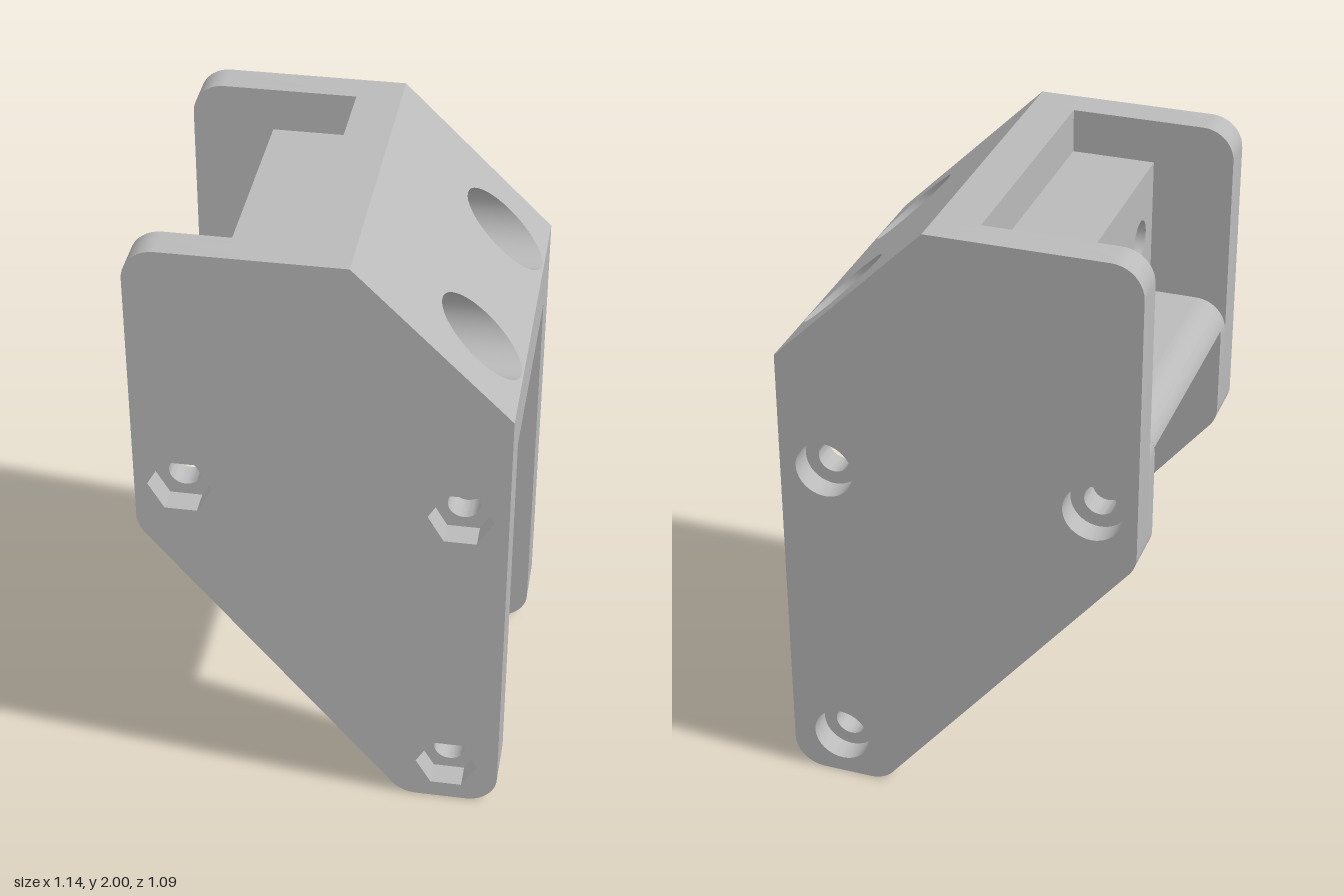
import * as THREE from 'three';
import { toCreasedNormals } from 'three/addons/utils/BufferGeometryUtils.js';

const R = 0.1;                       // corner rounding
const OUT = 0.545, POCKET = 0.435, GAP = 0.38, RECESS = 0.465; // z levels
const SHOULDER = 1.525, STEP = 1.86, LEDGE = 1.41, UNDER = 1.33; // y levels
const BORE_FLOOR = 0.09;             // x of the counterbore floor
const BOLTS = [[-0.43, 1.17], [0.425, 1.15], [0.405, 0.145]];

// Polygon from [x, y, radius?] corners, rounding those with a radius
function rounded(corners) {
  const pts = [];
  corners.forEach(([x, y, r], i) => {
    const p = new THREE.Vector2(x, y);
    if (!r) { pts.push(p); return; }
    const n = corners.length;
    const a = new THREE.Vector2(...corners[(i + n - 1) % n].slice(0, 2)).sub(p).normalize();
    const b = new THREE.Vector2(...corners[(i + 1) % n].slice(0, 2)).sub(p).normalize();
    const half = Math.acos(a.dot(b)) / 2;
    const t = r / Math.tan(half);
    const c = a.clone().add(b).normalize().multiplyScalar(r / Math.sin(half)).add(p);
    const s = a.multiplyScalar(t).add(p).sub(c);
    const e = b.multiplyScalar(t).add(p).sub(c);
    const a0 = s.angle();
    let d = e.angle() - a0;
    if (d > Math.PI) d -= 2 * Math.PI;
    if (d < -Math.PI) d += 2 * Math.PI;
    for (let k = 0; k <= 10; k++) {
      const q = a0 + d * k / 10;
      pts.push(new THREE.Vector2(c.x + r * Math.cos(q), c.y + r * Math.sin(q)));
    }
  });
  return new THREE.Shape(pts);
}

// Regular polygon hole: 6 sides for a nut, many for a round bore
function hole(x, y, r, sides = 40) {
  const pts = [];
  for (let i = 0; i < sides; i++) {
    const a = -i / sides * Math.PI * 2;
    pts.push(new THREE.Vector2(x + r * Math.cos(a), y + r * Math.sin(a)));
  }
  return new THREE.Path(pts);
}

function extrude(shape, from, to) {
  return new THREE.ExtrudeGeometry(shape, { depth: to - from, bevelEnabled: false, curveSegments: 12 })
    .translate(0, 0, from);
}

export function createModel() {
  const group = new THREE.Group();
  const grey = new THREE.MeshStandardMaterial({ color: 0xbababa });
  grey.name = 'plain grey';

  const add = (name, geometry) => {
    const mesh = new THREE.Mesh(toCreasedNormals(geometry, 0.5), grey);
    mesh.name = name;
    group.add(mesh);
  };

  const lowerEdge = [[-0.57, 1.007, R], [0.26, 0, R], [0.57, 0, R]];
  const plate = (r, sides) => {
    const s = rounded([[0.57, SHOULDER], [0.09, 2], [-0.57, 2, R], ...lowerEdge]);
    s.holes = BOLTS.map(([x, y]) => hole(x, y, r, sides));
    return s;
  };
  const liner = () => {
    const s = rounded([[0.57, SHOULDER], [-0.315, SHOULDER], [-0.315, LEDGE], [-0.57, LEDGE, R], ...lowerEdge]);
    s.holes = BOLTS.map(([x, y]) => hole(x, y, 0.05));
    return s;
  };

  // Cheek plates: nut recesses in front, round screw recesses behind
  add('frontPlateNutLayer', extrude(plate(0.1, 6), RECESS, OUT));
  add('backPlateScrewLayer', extrude(plate(0.093, 40), -OUT, -RECESS));
  for (const [side, f] of [['front', 1], ['back', -1]]) {
    const span = (a, b) => (f > 0 ? [a, b] : [-b, -a]);
    add(side + 'PlateCore', extrude(plate(0.05, 40), ...span(POCKET, RECESS)));
    add(side + 'PlateLiner', extrude(liner(), ...span(GAP, POCKET)));
  }

  // Bridge floor with a rounded rear lip
  const floor = new THREE.Shape();
  floor.moveTo(0.57, UNDER);
  floor.lineTo(0.57, SHOULDER);
  floor.lineTo(-0.315, SHOULDER);
  floor.lineTo(-0.315, LEDGE);
  floor.absarc(-0.47, LEDGE - R, R, Math.PI / 2, Math.PI - 0.2, false);
  add('bridgeFloor', extrude(floor, -GAP, GAP));

  // Bored blocks, extruded along x
  const bored = (top, r, from, to) => {
    const s = rounded([[-POCKET, SHOULDER], [POCKET, SHOULDER], [POCKET, top], [-POCKET, top]]);
    s.holes = [-0.3, 0.3].map((z) => hole(z, 1.65, r));
    return extrude(s, from, to).rotateY(Math.PI / 2);
  };
  add('screwBlock', bored(STEP, 0.065, -0.315, BORE_FLOOR));

  // The front face of the counterbored block is leaned onto the slope
  const slope = bored(2, 0.12, BORE_FLOOR, 0.57);
  const pos = slope.attributes.position;
  for (let i = 0; i < pos.count; i++) {
    if (pos.getX(i) > 0.3) {
      pos.setX(i, 0.57 - (pos.getY(i) - SHOULDER) * 0.48 / (2 - SHOULDER));
    }
  }
  add('slopedBlock', slope);

  // Upright rib at the top of the pocket
  add('topRib', new THREE.BoxGeometry(0.14, 2 - STEP, 2 * POCKET).translate(0.02, (2 + STEP) / 2, 0));

  return group;
}
